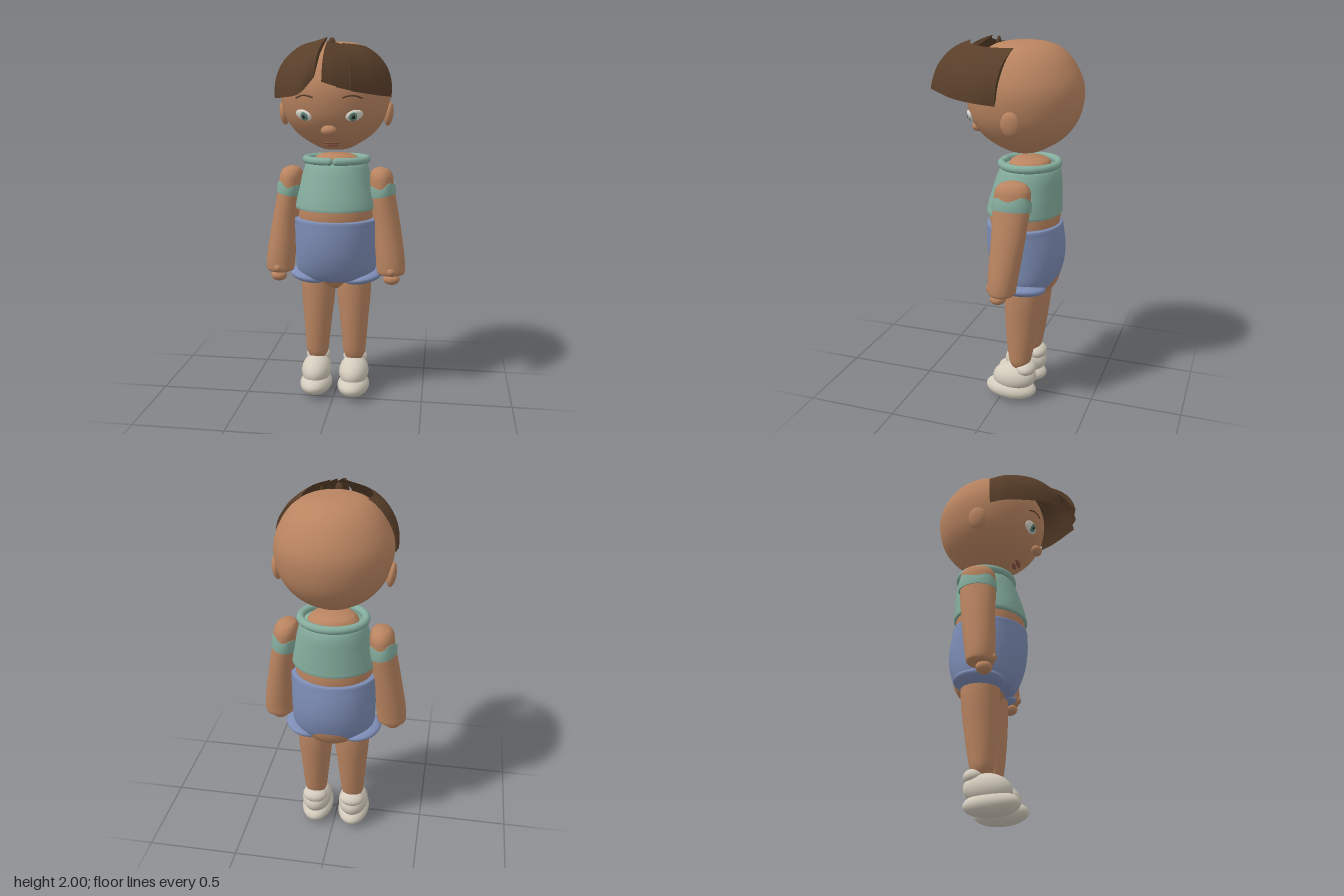
import * as THREE from 'three';
import { toCreasedNormals } from 'three/addons/utils/BufferGeometryUtils.js';

const V = (x, y, z) => new THREE.Vector3(x, y, z);
const mat = (name, color) => {
  const m = new THREE.MeshStandardMaterial({ color });
  m.name = name;
  return m;
};

export function createModel() {
  const skin = mat('skin', 0xb98460), hair = mat('hair brown', 0x593f2a), green = mat('shirt green', 0x84ac9d);
  const blue = mat('shorts blue', 0x7c8cb4), cream = mat('shoe cream', 0xd3cbbc), white = mat('eye white', 0xdcdad0);
  const iris = mat('iris green', 0x5f8a7c), dark = mat('pupil dark', 0x2b231d), lip = mat('lip brown', 0x8c5844);
  const root = new THREE.Group();

  const add = (name, geo, material, parent = root) => {
    const m = new THREE.Mesh(geo, material);
    m.name = name;
    parent.add(m);
    return m;
  };
  const ball = (name, material, p, r, parent = root) => {
    const m = add(name, new THREE.SphereGeometry(1, 32, 20), material, parent);
    m.position.set(...p);
    m.scale.set(...r);
    return m;
  };

  // Closed surface through rings of points, capped at both ends, always facing outward
  function skinRings(rings, crease = 0.8) {
    const n = rings[0].length, pts = rings.flat(), idx = [];
    for (let i = 0; i < rings.length - 1; i++) {
      for (let j = 0; j < n; j++) {
        const a = i * n + j, b = i * n + (j + 1) % n;
        idx.push(a, a + n, b, b, a + n, b + n);
      }
    }
    [0, rings.length - 1].forEach((i, end) => {
      const c = V(0, 0, 0);
      rings[i].forEach((p) => c.addScaledVector(p, 1 / n));
      const k = pts.push(c) - 1;
      for (let j = 0; j < n; j++) {
        const a = i * n + j, b = i * n + (j + 1) % n;
        if (end) idx.push(k, b, a); else idx.push(k, a, b);
      }
    });
    let volume = 0;
    const cross = V(0, 0, 0);
    for (let i = 0; i < idx.length; i += 3) {
      volume += pts[idx[i]].dot(cross.crossVectors(pts[idx[i + 1]], pts[idx[i + 2]]));
    }
    if (volume < 0) idx.reverse();
    const geo = new THREE.BufferGeometry().setFromPoints(pts);
    geo.setIndex(idx);
    return toCreasedNormals(geo, crease);
  }

  // Upright body part from sections [y, x, z, radiusX, radiusZ]
  function loft(sections, side = 1, steps = 40, n = 40) {
    const centre = new THREE.CatmullRomCurve3(sections.map((s) => V(s[1] * side, s[0], s[2])));
    const radius = new THREE.CatmullRomCurve3(sections.map((s) => V(s[3], s[0], s[4])));
    return skinRings(Array.from({ length: steps + 1 }, (_, i) => {
      const c = centre.getPoint(i / steps), r = radius.getPoint(i / steps);
      return Array.from({ length: n }, (_, j) => {
        const a = j / n * Math.PI * 2;
        return V(c.x + Math.cos(a) * r.x, c.y, c.z + Math.sin(a) * r.z);
      });
    }));
  }

  // Head, turned from a profile of [radius, height]
  const profile = [[0, 1.41], [0.06, 1.413], [0.11, 1.432], [0.19, 1.48], [0.245, 1.535], [0.285, 1.605], [0.305, 1.7],
    [0.298, 1.78], [0.262, 1.86], [0.215, 1.92], [0.155, 1.96], [0.08, 1.978], [0, 1.981]];
  const HZ = -0.095, HX = 0.97;
  const outline = new THREE.SplineCurve(profile.map((p) => new THREE.Vector2(...p))).getPoints(48);
  outline.forEach((p) => { p.x = Math.max(p.x, 0); });
  const head = add('head', new THREE.LatheGeometry(outline, 64), skin);
  head.position.z = HZ;
  head.scale.x = HX;
  const onFace = (x, y, lift = 0) => {
    const i = profile.findIndex((p) => p[1] >= y), [a, b] = [profile[i - 1], profile[i]];
    const r = a[0] + (b[0] - a[0]) * (y - a[1]) / (b[1] - a[1]);
    return V(x, y, HZ + Math.sqrt(r * r - (x / HX) ** 2) + lift);
  };

  // Face
  ball('nose', skin, [0, 1.53, 0.164], [0.041, 0.028, 0.033]);
  ball('upperLip', lip, onFace(0, 1.459, -0.004).toArray(), [0.046, 0.009, 0.014]);
  ball('lowerLip', lip, onFace(0, 1.445, -0.004).toArray(), [0.034, 0.009, 0.014]);
  for (const s of [1, -1]) {
    const ear = ball('ear', skin, [s * 0.287, 1.603, -0.11], [0.024, 0.064, 0.05]);
    ear.rotation.z = -s * 0.12;

    const eye = new THREE.Group();
    eye.name = 'eye';
    eye.position.copy(onFace(s * 0.13, 1.608));
    eye.rotation.set(0.42, s * 0.45, s * 0.25, 'YXZ');
    root.add(eye);
    ball('eyeWhite', white, [0, 0, 0], [0.047, 0.03, 0.014], eye);
    ball('iris', iris, [-s * 0.008, 0, 0.01], [0.023, 0.024, 0.006], eye);
    ball('pupil', dark, [-s * 0.008, 0, 0.0145], [0.009, 0.01, 0.003], eye);

    const brow = new THREE.CatmullRomCurve3([[0.075, 1.697], [0.1, 1.706], [0.135, 1.708], [0.17, 1.695]]
      .map(([x, y]) => onFace(s * x, y, 0.001)));
    add('eyebrow', new THREE.TubeGeometry(brow, 16, 0.004, 8), hair);
  }

  // Hair: each lock spans from an upper path to a lower path, bulging outward between them
  function lock(name, upper, lower, lean = [1.08, 0.95]) {
    const up = new THREE.CatmullRomCurve3(upper.map((p) => V(...p)));
    const low = new THREE.CatmullRomCurve3(lower.map((p) => V(...p)));
    const rings = [];
    for (let i = 0; i <= 28; i++) {
      const t = i / 28, u = up.getPoint(t), l = low.getPoint(t);
      const k = lean[0] + (lean[1] - lean[0]) * t, mid = u.clone().lerp(l, 0.5);
      const bulge = V(l.x * k, mid.y + 0.045, l.z * k);
      const outer = new THREE.QuadraticBezierCurve3(u, bulge, l).getPoints(14);
      const inner = new THREE.QuadraticBezierCurve3(l, mid.lerp(bulge, 0.45), u).getPoints(14);
      rings.push([...outer, ...inner.slice(1, -1)]);
    }
    add(name, skinRings(rings, 0.9), hair);
  }
  lock('rightFringe',
    [[-0.15, 1.955, -0.075], [-0.17, 1.955, 0.03], [-0.13, 1.965, 0.1], [-0.07, 1.98, 0.11], [-0.015, 2, 0.085]],
    [[-0.295, 1.69, -0.04], [-0.303, 1.69, 0.05], [-0.22, 1.7, 0.265], [-0.12, 1.722, 0.335], [-0.05, 1.8, 0.31]]);
  lock('leftFringe',
    [[0.165, 1.955, -0.085], [0.165, 1.955, 0.03], [0.14, 1.96, 0.11], [0.07, 1.965, 0.19]],
    [[0.303, 1.69, -0.035], [0.306, 1.7, 0.07], [0.26, 1.71, 0.2], [0.14, 1.735, 0.37]]);
  lock('middleLock', [[0.1, 1.95, 0.15], [0.07, 1.96, 0.18], [0.035, 1.97, 0.2]],
    [[0.17, 1.735, 0.3], [0.125, 1.74, 0.35], [0.07, 1.755, 0.392]], [0.95, 0.95]);
  lock('centreLock', [[0.07, 1.95, 0.17], [0.035, 1.96, 0.19], [0, 1.975, 0.2]],
    [[0.11, 1.75, 0.33], [0.06, 1.76, 0.375], [0, 1.78, 0.4]], [0.95, 0.95]);
  ball('crownTuft', hair, [0, 1.965, 0.047], [0.02, 0.033, 0.011]);

  // Torso and clothes
  add('neck', loft([[1.28, 0, -0.125, 0.14, 0.12], [1.34, 0, -0.125, 0.135, 0.115], [1.37, 0, -0.125, 0.11, 0.1],
    [1.382, 0, -0.125, 0.085, 0.08]]), skin);
  add('waist', loft([[0.98, 0, -0.1, 0.205, 0.18], [1.05, 0, -0.1, 0.205, 0.188], [1.12, 0, -0.1, 0.2, 0.185]]), skin);
  add('shirt', loft([[1.088, 0, -0.097, 0.205, 0.188], [1.09, 0, -0.097, 0.222, 0.2], [1.13, 0, -0.1, 0.22, 0.197],
    [1.22, 0, -0.112, 0.2, 0.183], [1.3, 0, -0.123, 0.18, 0.167], [1.333, 0, -0.125, 0.166, 0.153],
    [1.345, 0, -0.125, 0.14, 0.13]], 1, 60), green);
  const collarPath = new THREE.CatmullRomCurve3(Array.from({ length: 41 }, (_, i) => {
    const a = 0.12 + i / 40 * (Math.PI * 2 - 0.24);
    return V(Math.sin(a) * 0.168, 1.353, -0.125 + Math.cos(a) * 0.148);
  }));
  add('collar', new THREE.TubeGeometry(collarPath, 80, 0.021, 14), green);
  for (const t of [0, 1]) ball('collarEnd', green, collarPath.getPoint(t).toArray(), [0.021, 0.021, 0.021]);
  add('shorts', loft([[0.672, 0, -0.125, 0.12, 0.1], [0.695, 0, -0.122, 0.2, 0.15], [0.74, 0, -0.118, 0.222, 0.176],
    [0.83, 0, -0.113, 0.227, 0.204], [0.92, 0, -0.107, 0.229, 0.211], [1, 0, -0.101, 0.23, 0.205],
    [1.032, 0, -0.099, 0.229, 0.2], [1.036, 0, -0.099, 0.2, 0.18]], 1, 60), blue);
  ball('pelvis', skin, [0, 0.755, -0.145], [0.18, 0.142, 0.15]);

  // Limbs, mirrored
  for (const s of [1, -1]) {
    const name = s > 0 ? 'left' : 'right';
    add(name + 'Arm', loft([[0.715, 0.313, -0.075, 0.045, 0.04], [0.727, 0.313, -0.075, 0.074, 0.068],
      [0.78, 0.311, -0.077, 0.08, 0.076], [1, 0.285, -0.097, 0.074, 0.088], [1.2, 0.255, -0.109, 0.067, 0.097],
      [1.27, 0.25, -0.112, 0.062, 0.09], [1.3, 0.247, -0.113, 0.046, 0.065], [1.314, 0.245, -0.113, 0.012, 0.015]], s), skin);
    ball(name + 'Hand', skin, [s * 0.318, 0.698, -0.055], [0.046, 0.032, 0.042]);
    ball(name + 'Thumb', skin, [s * 0.316, 0.748, -0.012], [0.024, 0.022, 0.022]);

    // Short sleeve with a wavy upper edge
    const sleeve = [[0, -0.02, 0], [0, 0.004, 0], [0.35, 0.006, 0.3], [0.7, 0.005, 0.7], [1, 0.003, 1], [1, -0.02, 1]];
    add(name + 'Sleeve', skinRings(sleeve.map(([h, grow, wave]) => Array.from({ length: 48 }, (_, j) => {
      const a = j / 48 * Math.PI * 2, out = Math.cos(a);
      const y = 1.16 + 0.013 * out + h * 0.06 - wave * Math.cos(4 * a) * 0.01 - wave * Math.sin(a) * 0.008;
      return V(s * (0.256 - (y - 1.2) * 0.115 + out * (0.068 + grow)), y, -0.109 + Math.sin(a) * (0.098 + grow));
    }))), green);

    const cuff = ball(name + 'Cuff', blue, [s * 0.145, 0.695, -0.122], [0.118, 0.038, 0.137]);
    cuff.rotation.z = s * 0.16;
    add(name + 'Leg', loft([[0.2, 0.107, -0.11, 0.04, 0.04], [0.24, 0.107, -0.11, 0.06, 0.058],
      [0.32, 0.106, -0.112, 0.069, 0.073], [0.45, 0.104, -0.117, 0.081, 0.089], [0.62, 0.102, -0.124, 0.096, 0.102],
      [0.75, 0.102, -0.125, 0.095, 0.102]], s), skin);

    // Shoe: sole, upper and heel roll
    const shoe = new THREE.Group();
    shoe.name = name + 'Shoe';
    shoe.position.x = s * 0.108;
    root.add(shoe);
    ball('sole', cream, [0, 0.066, -0.058], [0.09, 0.062, 0.145], shoe).rotation.x = -0.04;
    ball('upper', cream, [0, 0.14, -0.078], [0.084, 0.082, 0.125], shoe).rotation.x = 0.12;
    ball('heelRoll', cream, [0, 0.203, -0.145], [0.07, 0.043, 0.058], shoe);
  }
  return root;
}
